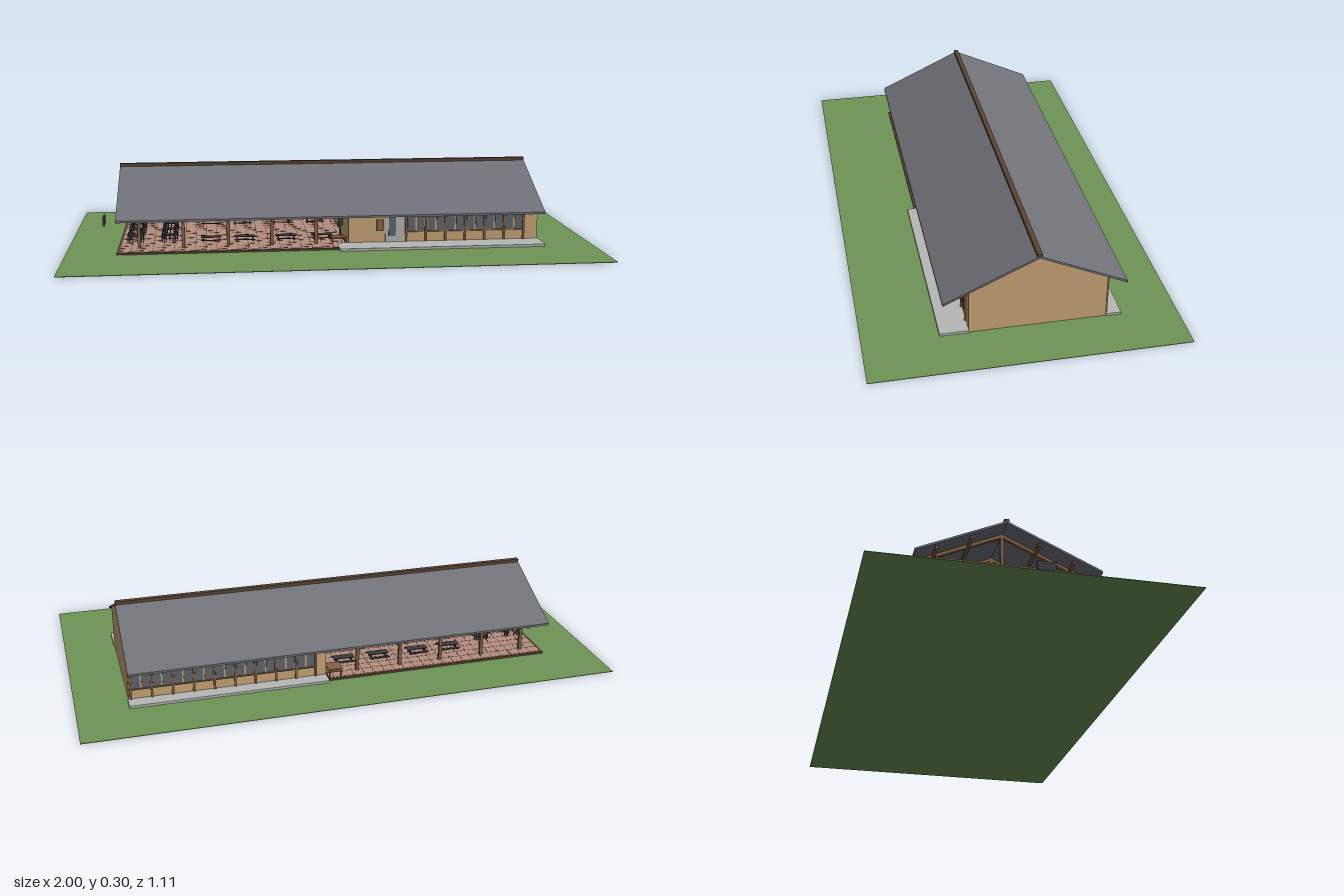
import * as THREE from 'three';

const mat = (name, color, side = THREE.FrontSide) => {
  const m = new THREE.MeshStandardMaterial({ color, side });
  m.name = name;
  return m;
};

export function createModel() {
  const M = {
    grass: mat('grass green', 0x6f9556),
    roof: mat('roof grey', 0x717279),
    wall: mat('wall tan', 0xc8a676),
    wood: mat('timber brown', 0x846344),
    edge: mat('dark brown', 0x5a4535),
    brick: mat('brick pink', 0xb58e80),
    path: mat('concrete grey', 0xb6b8b5),
    glass: mat('window grey', 0x62676e),
    dark: mat('furniture charcoal', 0x3b3d42),
  };
  const root = new THREE.Group();
  root.name = 'pavilionHall';

  const add = (parent, name, geo, m) => {
    const mesh = new THREE.Mesh(geo, m);
    mesh.name = name;
    parent.add(mesh);
    return mesh;
  };
  const group = (name, parent = root) => {
    const g = new THREE.Group();
    g.name = name;
    parent.add(g);
    return g;
  };
  // Box given by its minimum and maximum on each axis
  const box = (parent, name, m, x0, x1, y0, y1, z0, z1) => {
    const mesh = add(parent, name, new THREE.BoxGeometry(x1 - x0, y1 - y0, z1 - z0), m);
    mesh.position.set((x0 + x1) / 2, (y0 + y1) / 2, (z0 + z1) / 2);
    return mesh;
  };
  // Outline of [z, y] points, extruded along x
  const prism = (parent, name, m, x0, x1, pts) => {
    const shape = new THREE.Shape(pts.map(([z, y]) => new THREE.Vector2(-z, y)));
    const geo = new THREE.ExtrudeGeometry(shape, { depth: x1 - x0, bevelEnabled: false });
    geo.rotateY(Math.PI / 2).translate(x0, 0, 0);
    return add(parent, name, geo, m);
  };

  // Main lines of the building
  const RIDGE_Z = -0.057, RIDGE_Y = 0.288, FRONT = 0.185, BACK = -0.3;
  const EAVE_F = [0.275, 0.134], EAVE_B = [-0.37, 0.145];
  const T = 0.008;
  const roofY = (z) => {
    const [ez, ey] = z > RIDGE_Z ? EAVE_F : EAVE_B;
    return RIDGE_Y + (ey - RIDGE_Y) * (z - RIDGE_Z) / (ez - RIDGE_Z);
  };
  // Bent band lying under the roof line
  const band = (zf, zb, top, bottom) => [
    [zf, roofY(zf) - top], [RIDGE_Z, RIDGE_Y - top], [zb, roofY(zb) - top],
    [zb, roofY(zb) - bottom], [RIDGE_Z, RIDGE_Y - bottom], [zf, roofY(zf) - bottom],
  ];

  // Lawn
  box(root, 'lawn', M.grass, -1, 1, 0, 0.002, -0.555, 0.555);

  // Paved floor with a dark kerb and brick joints
  const floor = group('floor');
  box(floor, 'kerb', M.edge, -0.81, 0.06, 0.002, 0.009, -0.34, 0.26);
  box(floor, 'bricks', M.brick, -0.8, 0.06, 0.009, 0.01, -0.33, 0.25);
  for (let x = -0.76; x < 0.05; x += 0.04) box(floor, 'jointAcross', M.edge, x, x + 0.002, 0.01, 0.0104, -0.33, 0.25);
  for (let z = -0.29; z < 0.24; z += 0.04) box(floor, 'jointAlong', M.edge, -0.8, 0.06, 0.01, 0.0104, z, z + 0.002);
  box(root, 'frontPath', M.path, 0.02, 0.81, 0.002, 0.0115, FRONT, 0.287);
  box(root, 'backPath', M.path, 0.065, 0.81, 0.002, 0.0115, -0.355, BACK);

  // Enclosed hall
  const hall = group('hall');
  prism(hall, 'hallWalls', M.wall, 0.065, 0.806, [
    [FRONT, 0.002], [FRONT, roofY(FRONT) - T], [RIDGE_Z, RIDGE_Y - T], [BACK, roofY(BACK) - T], [BACK, 0.002],
  ]);

  // Window strip: posts between bays, two panes in each bay
  const facade = (name, z, dir, x0, bays) => {
    const g = group(name, hall);
    const pitch = 0.077;
    const plate = (label, m, a, b, y0, y1, d) =>
      box(g, label, m, a, b, y0, y1, Math.min(z, z + dir * d), Math.max(z, z + dir * d));
    for (let i = 0; i <= bays; i++) {
      const x = x0 + i * pitch;
      plate('wallPost', M.wood, x - 0.004, x + 0.004, 0.0115, 0.158, 0.006);
      if (i === bays) break;
      for (const s of [0.006, 0.042]) plate('pane', M.glass, x + s, x + s + 0.03, 0.052, 0.145, 0.003);
    }
    plate('sill', M.wood, x0, x0 + bays * pitch, 0.047, 0.051, 0.005);
    return plate;
  };
  const frontPlate = facade('frontWindows', FRONT, 1, 0.288, 6);
  frontPlate('doorFrame', M.path, 0.207, 0.28, 0.0115, 0.145, 0.003);
  frontPlate('doorGlass', M.glass, 0.22, 0.247, 0.035, 0.14, 0.005);
  frontPlate('noticeBoard', M.wood, 0.173, 0.2, 0.056, 0.1, 0.006);
  facade('backWindows', BACK, -1, 0.105, 9);

  // Roof with fascia and ridge beam
  const roof = group('roof');
  prism(roof, 'roofSlab', M.roof, -0.81, 0.81, band(EAVE_F[0], EAVE_B[0], 0, T));
  box(roof, 'ridgeCap', M.edge, -0.81, 0.81, RIDGE_Y - 0.005, 0.296, RIDGE_Z - 0.009, RIDGE_Z + 0.009);

  // Timber frames of the open side
  const frame = group('timberFrame');
  for (const x of [-0.73, -0.565, -0.395, -0.23, -0.06]) {
    const a = x - 0.006, b = x + 0.006;
    prism(frame, 'rafters', M.wood, a, b, band(EAVE_F[0] - 0.01, EAVE_B[0] + 0.01, T, T + 0.013));
    box(frame, 'tieBeam', M.wood, a, b, 0.15, 0.162, BACK, FRONT);
    box(frame, 'kingPost', M.wood, a, b, 0.162, 0.27, RIDGE_Z - 0.006, RIDGE_Z + 0.006);
    for (const z of [FRONT - 0.006, BACK + 0.006])
      box(frame, 'post', M.wood, a, b, 0.01, 0.162, z - 0.006, z + 0.006);
  }
  for (const z of [FRONT - 0.006, 0.06, -0.175, BACK + 0.006]) {
    const y = roofY(z) - T - 0.003;
    box(frame, 'purlin', M.wood, -0.8, 0.065, y - 0.012, y, z - 0.005, z + 0.005);
  }

  // Picnic tables with benches
  const picnic = (x, z) => {
    const g = group('picnicTable');
    g.position.set(x, 0.01, z);
    box(g, 'top', M.dark, -0.04, 0.04, 0.017, 0.02, -0.015, 0.015);
    for (const s of [-1, 1]) {
      box(g, 'bench', M.dark, -0.04, 0.04, 0.009, 0.011, s * 0.028 - 0.005, s * 0.028 + 0.005);
      box(g, 'crossBar', M.dark, s * 0.03 - 0.002, s * 0.03 + 0.002, 0.006, 0.009, -0.031, 0.031);
      for (const t of [-1, 1])
        box(g, 'leg', M.dark, s * 0.03 - 0.002, s * 0.03 + 0.002, 0, 0.017, t * 0.012 - 0.002, t * 0.012 + 0.002);
    }
  };
  for (const x of [-0.46, -0.33, -0.17, -0.03]) for (const z of [0.1, -0.21]) picnic(x, z);

  // Round tables, each with four chairs
  const roundSet = (x, z) => {
    const g = group('roundTableSet');
    g.position.set(x, 0.01, z);
    add(g, 'tableTop', new THREE.CylinderGeometry(0.02, 0.02, 0.003, 16), M.dark).position.y = 0.024;
    add(g, 'tableStem', new THREE.CylinderGeometry(0.002, 0.002, 0.023, 8), M.dark).position.y = 0.0115;
    for (let i = 0; i < 4; i++) {
      const c = group('chair', g);
      c.rotation.y = i * Math.PI / 2 + Math.PI / 4;
      box(c, 'seat', M.dark, -0.007, 0.007, 0.013, 0.015, 0.022, 0.036);
      box(c, 'chairBack', M.dark, -0.007, 0.007, 0.022, 0.033, 0.034, 0.036);
      for (const s of [-0.006, 0.006]) {
        box(c, 'frontLeg', M.dark, s - 0.001, s + 0.001, 0, 0.013, 0.023, 0.025);
        box(c, 'backLeg', M.dark, s - 0.001, s + 0.001, 0, 0.023, 0.034, 0.036);
      }
    }
  };
  for (const x of [-0.75, -0.62]) for (const z of [-0.15, -0.04, 0.07]) roundSet(x, z);

  // Serving counter and slim stand beside the hall
  const counter = group('counter');
  box(counter, 'counterTop', M.wood, 0.01, 0.064, 0.043, 0.047, -0.338, -0.28);
  box(counter, 'counterShelf', M.wood, 0.014, 0.064, 0.028, 0.031, -0.326, -0.28);
  for (const x of [0.014, 0.058]) box(counter, 'counterLeg', M.wood, x, x + 0.004, 0.009, 0.043, -0.335, -0.331);
  box(root, 'frontBench', M.wood, 0.0, 0.06, 0.024, 0.03, 0.13, 0.17);
  for (const x of [0.004, 0.052]) box(root, 'frontBenchLeg', M.wood, x, x + 0.004, 0.01, 0.024, 0.132, 0.168);
  box(root, 'stand', M.dark, 0.042, 0.05, 0.01, 0.06, 0.06, 0.068);
  box(root, 'standPanel', M.dark, 0.038, 0.056, 0.055, 0.088, 0.055, 0.073);

  // Screen hung beyond the open end
  box(root, 'screen', M.dark, -0.873, -0.866, 0.077, 0.11, 0.027, 0.093);

  return root;
}
